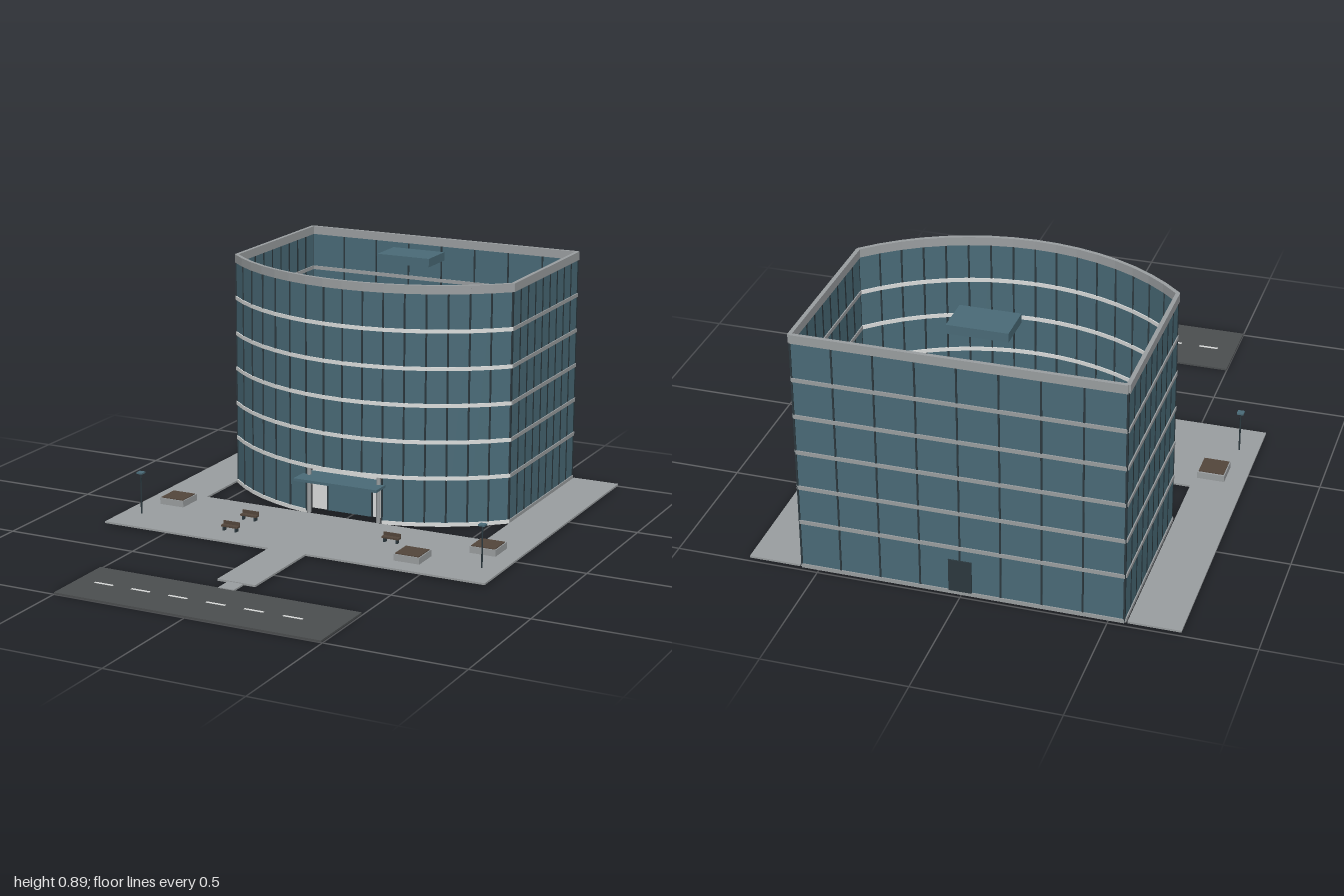
import * as THREE from 'three';
import { mergeGeometries } from 'three/addons/utils/BufferGeometryUtils.js';

const mat = (name, color) => {
  const m = new THREE.MeshStandardMaterial({ color });
  m.name = name;
  return m;
};

// box given by its min and max on each axis
function block(x0, x1, y0, y1, z0, z1) {
  const g = new THREE.BoxGeometry(x1 - x0, y1 - y0, z1 - z0);
  g.translate((x0 + x1) / 2, (y0 + y1) / 2, (z0 + z1) / 2);
  return g;
}

// upright slab between two plan points [x, z]
function slab([ax, az], [bx, bz], y0, y1, thick, extra = 0) {
  const dx = bx - ax, dz = bz - az;
  const g = new THREE.BoxGeometry(Math.hypot(dx, dz) + extra, y1 - y0, thick);
  g.rotateY(-Math.atan2(dz, dx));
  g.translate((ax + bx) / 2, (y0 + y1) / 2, (az + bz) / 2);
  return g;
}

export function createModel() {
  const glass = mat('blueGlass', 0x4a6b78);
  const stone = mat('greyStone', 0x9b9fa1);
  const pale = mat('paleTrim', 0xdcdedd);
  const asphalt = mat('asphalt', 0x4c4f50);
  const wood = mat('brownWood', 0x53463b);
  const dark = mat('darkMetal', 0x2c393f);

  const root = new THREE.Group();
  const add = (name, material, geos, parent = root) => {
    const m = new THREE.Mesh(mergeGeometries([geos].flat()), material);
    m.name = name;
    parent.add(m);
    return m;
  };

  // plan outline: curved front, two straight sides, straight back
  const W = 0.555, R = 0.785, CZ = -0.925, BACK = -0.99;
  const arc = [], side = [], rear = [];
  for (let i = 0; i <= 16; i++) {
    const a = (i / 16 - 0.5) * Math.PI / 2;
    arc.push([R * Math.sin(a), CZ + R * Math.cos(a)]);
  }
  const zSide = arc[0][1];
  for (let i = 0; i <= 9; i++) side.push([W, zSide + (BACK - zSide) * i / 9]);
  for (let i = 0; i <= 8; i++) rear.push([W - 2 * W * i / 8, BACK]);
  const mirrored = side.map(([x, z]) => [-x, z]);
  const floors = [0.015, 0.188, 0.322, 0.457, 0.592, 0.728, 0.864];

  const building = new THREE.Group();
  building.name = 'building';
  root.add(building);

  const panes = [], mullions = [], bands = [], frontBands = [], parapet = [];
  [arc, side, rear, mirrored].forEach((run) => {
    const isArc = run === arc;
    for (let i = 0; i < run.length - 1; i++) {
      const p = run[i], q = run[i + 1];
      const doorway = isArc && i >= 6 && i <= 9; // open at ground floor
      panes.push(slab(p, q, doorway ? floors[1] : floors[0], floors[6], 0.005));
      floors.slice(0, 6).forEach((y, f) => {
        if (doorway && f === 0) return;
        (isArc ? frontBands : bands).push(slab(p, q, y - 0.007, y + 0.007, 0.013, 0.001));
      });
      parapet.push(slab(p, q, 0.862, 0.893, 0.014, 0.002));
    }
    run.forEach(([x, z], i) => {
      const doorway = isArc && i >= 7 && i <= 9;
      const y0 = doorway ? floors[1] : floors[0];
      mullions.push(block(x - 0.003, x + 0.003, y0, 0.864, z - 0.005, z + 0.005));
    });
  });
  add('glassWalls', glass, panes, building);
  add('mullions', dark, mullions, building);
  add('floorBands', stone, bands, building);
  add('frontFloorBands', pale, frontBands, building);
  add('parapet', stone, parapet, building);
  add('rooftopUnit', glass, block(-0.105, 0.105, 0.855, 0.887, -0.78, -0.64), building);

  // entrance recess, columns, door and canopy
  const entrance = new THREE.Group();
  entrance.name = 'entrance';
  root.add(entrance);
  add('entranceSurround', pale, [
    block(-0.155, -0.09, 0.012, 0.185, -0.21, -0.204),
    block(0.09, 0.155, 0.012, 0.185, -0.21, -0.204),
    block(-0.09, 0.09, 0.13, 0.185, -0.21, -0.204)], entrance);
  add('entranceDoor', glass, block(-0.088, 0.088, 0.012, 0.128, -0.21, -0.2), entrance);
  add('doorFrame', dark, [
    block(-0.092, -0.087, 0.012, 0.13, -0.212, -0.198),
    block(0.087, 0.092, 0.012, 0.13, -0.212, -0.198),
    block(-0.092, 0.092, 0.126, 0.131, -0.212, -0.198)], entrance);
  add('entranceColumns', stone, [-0.14, 0.14].map((x) => {
    const c = new THREE.CylinderGeometry(0.008, 0.008, 0.17, 12);
    return c.translate(x, 0.097, -0.15);
  }), entrance);
  add('canopy', glass, block(-0.168, 0.165, 0.146, 0.156, -0.2, -0.08), entrance);
  add('backDoor', dark, block(-0.04, 0.04, 0.02, 0.14, -0.997, -0.99), building);

  // paving around three sides, and the path to the road
  add('paving', stone, [
    block(-0.745, 0.745, 0.006, 0.013, -0.14, 0.285),
    block(-0.745, -0.565, 0.006, 0.013, -0.99, -0.14),
    block(0.565, 0.745, 0.006, 0.013, -0.99, -0.14)]);
  add('path', stone, [
    block(-0.075, 0.07, 0.006, 0.013, 0.285, 0.65),
    block(-0.035, 0.025, 0.004, 0.01, 0.65, 0.715)]);
  add('road', asphalt, block(-0.5, 0.495, 0, 0.007, 0.71, 1));
  add('roadDashes', pale, [...Array(6).keys()].map((i) => {
    const x = -0.395 + i * 0.143;
    return block(x - 0.036, x + 0.036, 0.007, 0.0085, 0.85, 0.859);
  }));

  // planters with a soil top
  [[-0.625, -0.035], [0.62, -0.035], [0.42, 0.16]].forEach(([x, z]) => {
    const g = new THREE.Group();
    g.name = 'planter';
    g.position.set(x, 0, z);
    root.add(g);
    add('planterBox', stone, block(-0.049, 0.049, 0.012, 0.037, -0.05, 0.05), g);
    add('planterSoil', wood, block(-0.045, 0.045, 0.036, 0.04, -0.043, 0.046), g);
  });

  // benches
  [[-0.287, 0.036], [0.28, 0.036], [-0.287, 0.178]].forEach(([x, z]) => {
    const g = new THREE.Group();
    g.name = 'bench';
    g.position.set(x, 0, z);
    root.add(g);
    add('benchSeat', wood, block(-0.033, 0.033, 0.028, 0.034, -0.011, 0.011), g);
    add('benchBack', wood, block(-0.033, 0.033, 0.034, 0.046, -0.011, -0.008), g);
    add('benchLegs', dark, [-0.024, 0.024].map((lx) =>
      block(lx - 0.003, lx + 0.003, 0.012, 0.028, -0.009, 0.009)), g);
  });

  // lamp posts
  [-0.677, 0.673].forEach((x) => {
    const g = new THREE.Group();
    g.name = 'lampPost';
    g.position.set(x, 0, 0.143);
    root.add(g);
    const pole = new THREE.CylinderGeometry(0.003, 0.003, 0.153, 8);
    add('lampPole', dark, pole.translate(0, 0.0885, 0), g);
    add('lampHead', glass, block(-0.012, 0.012, 0.164, 0.17, -0.012, 0.012), g);
  });

  return root;
}
